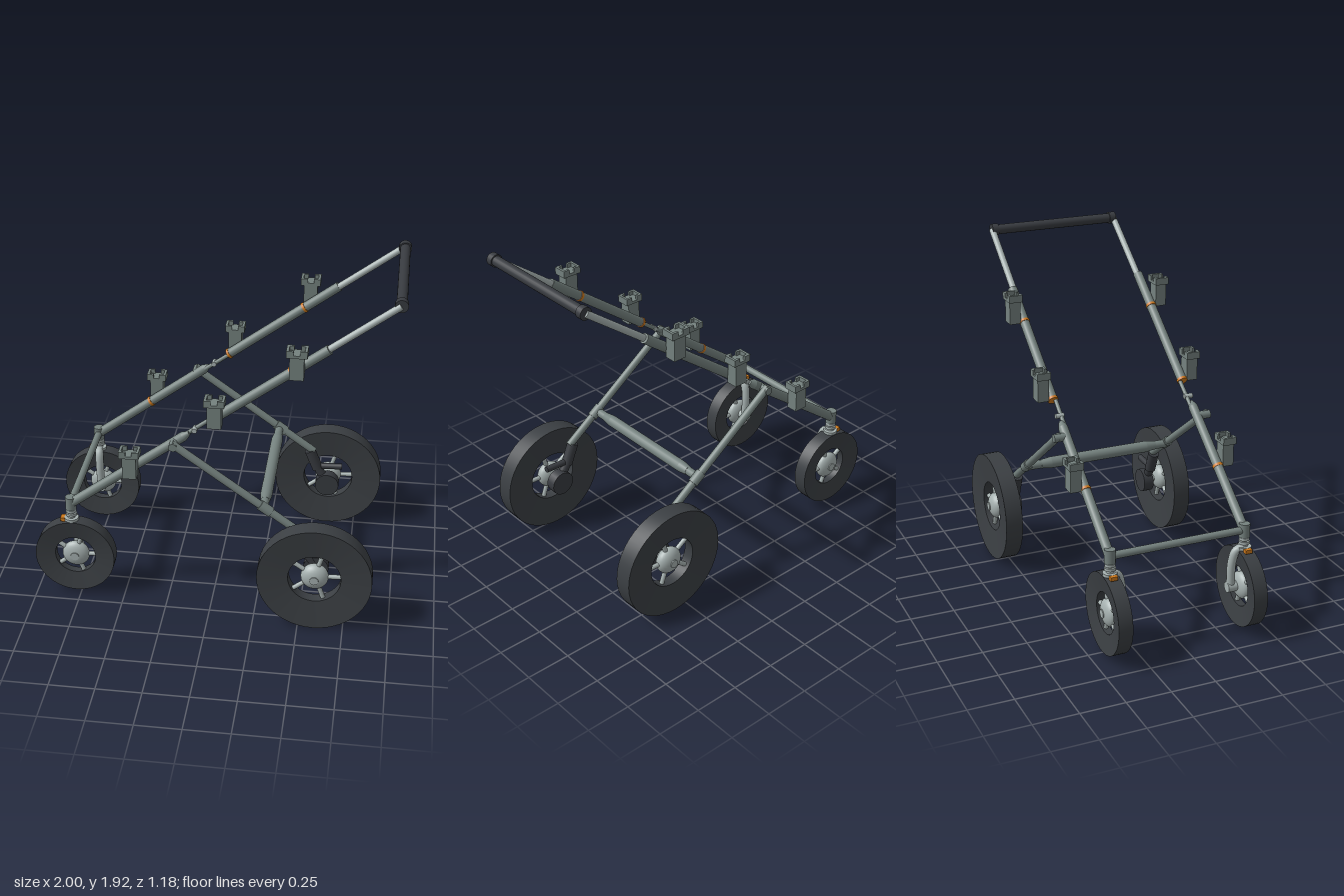
import * as THREE from 'three';
import { toCreasedNormals } from 'three/addons/utils/BufferGeometryUtils.js';

const mat = (name, color, side = THREE.FrontSide) => {
  const m = new THREE.MeshStandardMaterial({ color, side });
  m.name = name;
  return m;
};

export function createModel() {
  const root = new THREE.Group();
  root.name = 'strollerFrame';
  const steel = mat('frame grey', 0x75827f);
  const alloy = mat('light alloy', 0xa6b1b0);
  const tyreMat = mat('tyre black', 0x3b3f43);
  const dark = mat('dark plastic', 0x383b40);
  const orange = mat('orange clip', 0xd07a1c);

  const add = (parent, name, geo, material, x = 0, y = 0, z = 0) => {
    const m = new THREE.Mesh(geo, material);
    m.name = name;
    m.position.set(x, y, z);
    parent.add(m);
    return m;
  };
  // Round bar between two points
  const rod = (parent, name, a, b, r, material, r2 = r) => {
    const p = new THREE.Vector3(...a), q = new THREE.Vector3(...b);
    const d = q.clone().sub(p);
    const m = add(parent, name, new THREE.CylinderGeometry(r2, r, d.length(), 20), material);
    m.position.copy(p).add(q).multiplyScalar(0.5);
    m.quaternion.setFromUnitVectors(new THREE.Vector3(0, 1, 0), d.normalize());
    return m;
  };
  const railY = (x) => 0.58 + (x + 0.79) * 0.749;
  const legY = (x) => 1.03 - (x + 0.2) * 0.72;

  // Wheel with dished tyre, spokes and rounded hub, axle along z
  const wheel = (name, x, y, z, s, R, hole, width, hubR) => {
    const g = new THREE.Group();
    g.name = name;
    g.position.set(x, y, z);
    const h = width / 2, dish = 0.018;
    const profile = [[hole, -h + dish], [R, -h], [R, h], [hole, h - dish], [hole, -h + dish]]
      .map((p) => new THREE.Vector2(...p));
    const tyre = toCreasedNormals(new THREE.LatheGeometry(profile, 48), 0.6);
    add(g, 'tyre', tyre, tyreMat).rotation.x = Math.PI / 2;
    const hub = add(g, 'hub', new THREE.SphereGeometry(hubR, 24, 16), alloy);
    hub.scale.z = h / hubR;
    rod(g, 'hubCap', [0, 0, 0], [0, 0, s * (h + 0.003)], 0.024, alloy);
    for (let i = 0; i < 5; i++) {
      const a = i * Math.PI * 2 / 5 + 0.03, c = Math.cos(a), n = Math.sin(a);
      rod(g, 'spoke', [c * hubR * 0.7, n * hubR * 0.7, 0], [c * (hole + 0.01), n * (hole + 0.01), 0], 0.013, alloy);
    }
    root.add(g);
  };

  // Seat adapter: tapered-looking body with a notched cup on top
  const adapter = (x, s) => {
    const g = new THREE.Group();
    g.name = 'seatAdapter';
    g.position.set(x, railY(x), s * 0.447);
    add(g, 'adapterBody', new THREE.BoxGeometry(0.076, 0.13, 0.064), steel, 0, 0.04, 0);
    add(g, 'adapterFloor', new THREE.BoxGeometry(0.11, 0.016, 0.078), steel, 0, 0.112, 0);
    for (const e of [-1, 1]) {
      add(g, 'adapterEnd', new THREE.BoxGeometry(0.014, 0.028, 0.078), steel, e * 0.048, 0.13, 0);
      for (const f of [-1, 1])
        add(g, 'adapterLip', new THREE.BoxGeometry(0.026, 0.028, 0.014), steel, e * 0.03, 0.13, f * 0.032);
    }
    root.add(g);
    // Orange locking band around the rail
    const b = x - 0.028;
    rod(root, 'lockBand', [b - 0.006, railY(b - 0.006), s * 0.39], [b + 0.006, railY(b + 0.006), s * 0.39], 0.03, orange);
  };

  for (const s of [-1, 1]) {
    const z = s * 0.39;
    // Main rail in two lengths with a telescopic handle tube
    rod(root, 'lowerRail', [-0.79, 0.58, z], [-0.15, railY(-0.15), z], 0.027, steel);
    rod(root, 'upperRail', [0, railY(0), z], [0.61, railY(0.61), z], 0.027, steel);
    rod(root, 'handleTube', [0.58, railY(0.58), s * 0.385], [0.96, 1.89, s * 0.382], 0.019, alloy);
    // Folding hinge
    rod(root, 'hingeTip', [-0.15, railY(-0.15), z], [-0.12, railY(-0.12), z], 0.027, steel, 0.012);
    rod(root, 'hingeLink', [-0.17, railY(-0.17), s * 0.378], [0.02, railY(0.02), s * 0.375], 0.012, steel);
    rod(root, 'hingePin', [-0.09, railY(-0.09), s * 0.362], [-0.09, railY(-0.09), s * 0.41], 0.014, alloy);
    for (const x of [-0.437, 0.025, 0.45]) adapter(x, s);

    // Rear leg with pivot and lower sleeve
    const lz = s * 0.44;
    rod(root, 'rearLeg', [-0.21, legY(-0.21), lz], [0.5, legY(0.5), lz], 0.022, steel);
    rod(root, 'legSleeve', [0.27, legY(0.27), lz], [0.33, legY(0.33), lz], 0.029, steel);
    rod(root, 'legPivot', [-0.2, 1.025, s * 0.38], [-0.2, 1.025, s * 0.465], 0.023, steel);
    // Rear suspension and brake drum
    rod(root, 'damper', [0.475, 0.53, lz], [0.525, 0.41, lz], 0.032, dark);
    rod(root, 'swingArm', [0.52, 0.42, lz], [0.585, 0.315, lz], 0.026, dark);
    rod(root, 'brakeLever', [0.52, 0.425, lz], [0.67, 0.43, lz], 0.018, dark);
    rod(root, 'brakeDrum', [0.585, 0.315, s * 0.4], [0.585, 0.315, s * 0.46], 0.07, dark);
    rod(root, 'rearAxle', [0.585, 0.315, s * 0.45], [0.585, 0.315, s * 0.52], 0.022, alloy);
    wheel('rearWheel', 0.585, 0.317, s * 0.535, s, 0.315, 0.145, 0.1, 0.077);

    // Front swivel: head, stacked collars and inner fork arm
    rod(root, 'swivelHead', [-0.79, 0.545, z], [-0.79, 0.622, z], 0.03, steel);
    rod(root, 'swivelStem', [-0.79, 0.46, z], [-0.79, 0.6, z], 0.02, alloy);
    [[0.535, 0.029], [0.513, 0.031], [0.482, 0.04]].forEach(([y, r]) =>
      rod(root, 'swivelCollar', [-0.79, y - 0.008, z], [-0.79, y + 0.008, z], r, alloy));
    add(root, 'swivelClip', new THREE.BoxGeometry(0.026, 0.022, 0.04), orange, -0.838, 0.478, z);
    const path = new THREE.CatmullRomCurve3([
      [-0.79, 0.482, s * 0.385], [-0.785, 0.465, s * 0.345], [-0.78, 0.4, s * 0.325], [-0.775, 0.25, s * 0.323],
    ].map((p) => new THREE.Vector3(...p)));
    add(root, 'forkArm', new THREE.TubeGeometry(path, 20, 0.024, 12), alloy);
    rod(root, 'frontAxle', [-0.775, 0.25, s * 0.3], [-0.775, 0.25, z], 0.03, alloy);
    wheel('frontWheel', -0.775, 0.248, z, s, 0.225, 0.115, 0.08, 0.078);

    // Grip end caps
    rod(root, 'gripCap', [0.96, 1.89, s * 0.35], [0.96, 1.89, s * 0.388], 0.035, dark);
  }

  // Cross members and grip
  rod(root, 'frontCrossbar', [-0.79, 0.583, -0.39], [-0.79, 0.583, 0.39], 0.021, steel);
  rod(root, 'rearCrossbar', [0.29, 0.668, -0.44], [0.29, 0.668, 0.44], 0.024, steel);
  rod(root, 'rearCrossbarSleeve', [0.29, 0.668, -0.3], [0.29, 0.668, 0.3], 0.033, steel);
  for (const s of [-1, 1])
    rod(root, 'crossbarTaper', [0.29, 0.668, s * 0.3], [0.29, 0.668, s * 0.36], 0.033, steel, 0.025);
  rod(root, 'handleGrip', [0.96, 1.89, -0.37], [0.96, 1.89, 0.37], 0.028, dark);
  return root;
}
